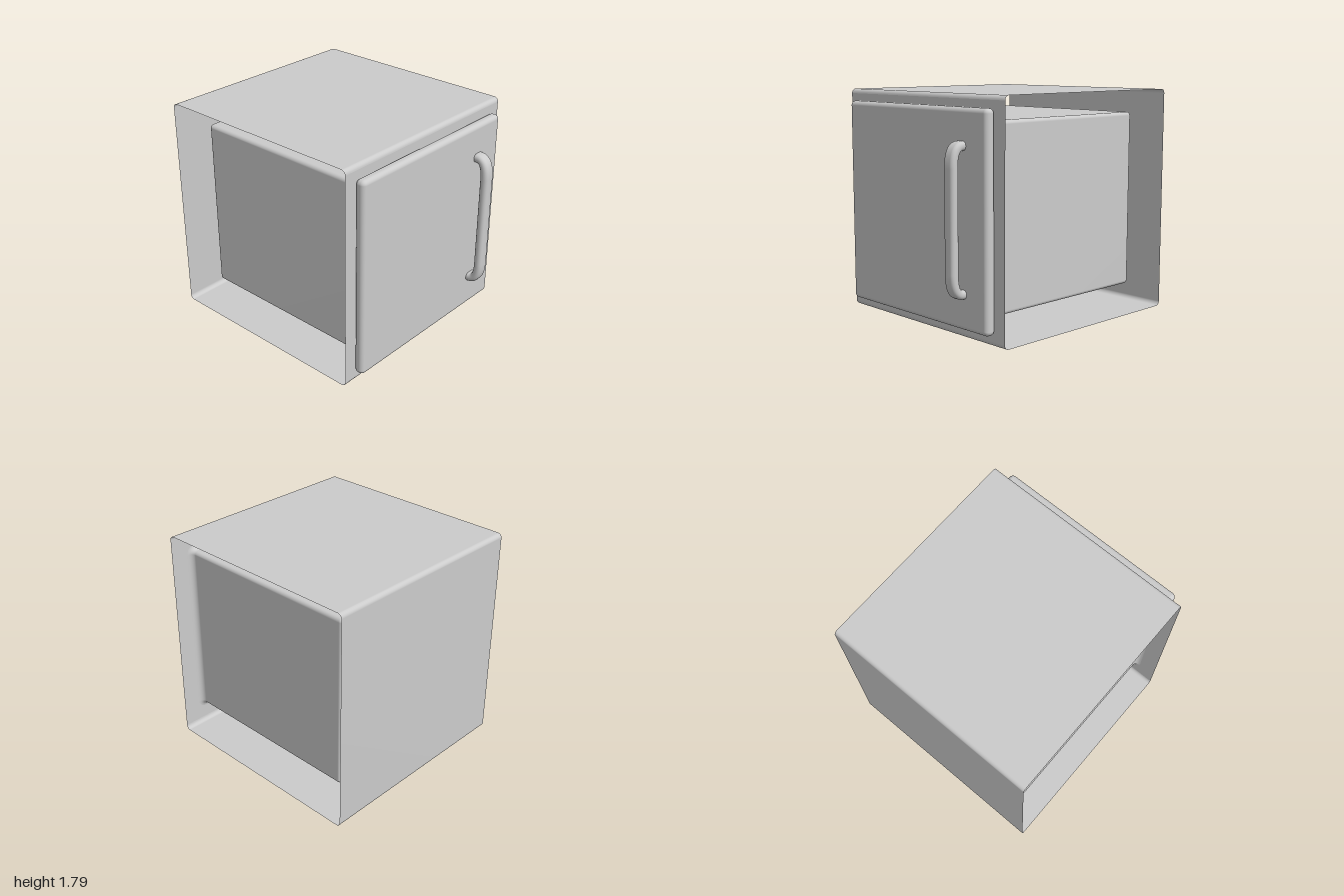
import * as THREE from 'three';
import { RoundedBoxGeometry } from 'three/addons/geometries/RoundedBoxGeometry.js';

const W = 0.89, H = 1.79, MID = H / 2, FRONT = 0.785, BACK = -1, R = 0.035;

// Points of a rounded rectangle centred on the origin, counter-clockwise.
function roundedRect(hx, hy, r, steps = 5) {
  const pts = [];
  [[1, 1], [-1, 1], [-1, -1], [1, -1]].forEach(([sx, sy], q) => {
    for (let i = 0; i <= steps; i++) {
      const a = (q + i / steps) * Math.PI / 2;
      pts.push(new THREE.Vector2(sx * (hx - r) + r * Math.cos(a), sy * (hy - r) + r * Math.sin(a)));
    }
  });
  return pts;
}

// Skin a series of equal-length cross-sections.
function loft(rings, closed) {
  const n = rings[0].length, index = [];
  const last = closed ? n : n - 1;
  for (let i = 0; i < rings.length - 1; i++) {
    for (let j = 0; j < last; j++) {
      const k = (j + 1) % n;
      const a = i * n + j, b = i * n + k, c = a + n, d = b + n;
      index.push(a, b, c, b, d, c);
    }
  }
  const geo = new THREE.BufferGeometry().setFromPoints(rings.flat());
  geo.setIndex(index);
  geo.computeVertexNormals();
  return geo;
}

export function createModel() {
  const group = new THREE.Group();
  const solid = new THREE.MeshStandardMaterial({ color: 0xcccccc });
  const sheet = new THREE.MeshStandardMaterial({ color: 0xcccccc, side: THREE.DoubleSide });
  const add = (name, geo, mat) => {
    const mesh = new THREE.Mesh(geo, mat);
    mesh.name = name;
    group.add(mesh);
    return mesh;
  };

  // Outer shell: bottom, back and top in one bent sheet, open at both sides
  const profile = [];
  const corners = [
    [FRONT - R, R, 0], [BACK + R, R, -1], [BACK + R, H - R, -2], [FRONT - R, H - R, -3],
  ];
  for (const [z, y, q] of corners) {
    for (let i = 0; i <= 6; i++) {
      const a = (q - i / 6) * Math.PI / 2;
      profile.push([z + R * Math.cos(a), y + R * Math.sin(a)]);
    }
  }
  const shellRings = [W, -W].map(x => profile.map(([z, y]) => new THREE.Vector3(x, y, z)));
  add('shell', loft(shellRings, false), sheet);

  // Front frame around the cavity opening
  const flare = 0.045, cx = 0.7, cy = 0.71;
  const frame = new THREE.Shape([[-W, R - MID], [W, R - MID], [W, MID - R], [-W, MID - R]]
    .map(p => new THREE.Vector2(...p)));
  frame.holes.push(new THREE.Path(roundedRect(cx + flare, cy + flare, 0.03 + flare)));
  add('frontFrame', new THREE.ShapeGeometry(frame), sheet).position.set(0, MID, FRONT);

  // Inner compartment: flared mouth, straight walls, softened closed back
  const sections = [];
  for (let i = 0; i <= 6; i++) {
    const a = i / 6 * Math.PI / 2;
    sections.push([flare * (1 - Math.sin(a)), FRONT - flare * (1 - Math.cos(a))]);
  }
  const br = 0.025, backZ = -0.82;
  for (let i = 0; i <= 4; i++) {
    const a = i / 4 * Math.PI / 2;
    sections.push([-br * (1 - Math.cos(a)), backZ + br * (1 - Math.sin(a))]);
  }
  const cavityRings = sections.map(([grow, z]) =>
    roundedRect(cx + grow, cy + grow, 0.03 + grow).map(p => new THREE.Vector3(p.x, p.y + MID, z)));
  cavityRings.push(cavityRings.at(-1).map(() => new THREE.Vector3(0, MID, backZ)));
  add('compartment', loft(cavityRings.reverse(), true), sheet);

  // Door slab
  add('door', new RoundedBoxGeometry(1.6, 1.61, 0.085, 5, 0.036), solid)
    .position.set(0, MID, 0.83);

  // Handle: rounded bar swept along a bow that meets the door at both ends
  const V = (y, z) => new THREE.Vector3(0.532, y + MID, z);
  const path = new THREE.CurvePath();
  path.add(new THREE.LineCurve3(V(-0.535, 0.85), V(-0.535, 0.885)));
  path.add(new THREE.CubicBezierCurve3(V(-0.535, 0.885), V(-0.535, 0.945), V(-0.47, 0.965), V(-0.38, 0.965)));
  path.add(new THREE.LineCurve3(V(-0.38, 0.965), V(0.38, 0.965)));
  path.add(new THREE.CubicBezierCurve3(V(0.38, 0.965), V(0.47, 0.965), V(0.535, 0.945), V(0.535, 0.885)));
  path.add(new THREE.LineCurve3(V(0.535, 0.885), V(0.535, 0.85)));
  const bar = roundedRect(0.0525, 0.034, 0.03);
  const handleRings = [];
  for (const curve of path.curves) {
    const steps = curve.isLineCurve3 ? 1 : 12;
    for (let i = handleRings.length ? 1 : 0; i <= steps; i++) {
      const p = curve.getPoint(i / steps), t = curve.getTangent(i / steps);
      handleRings.push(bar.map(s =>
        new THREE.Vector3(p.x + s.x, p.y - t.z * s.y, p.z + t.y * s.y)));
    }
  }
  add('handle', loft(handleRings, true), sheet);

  return group;
}
